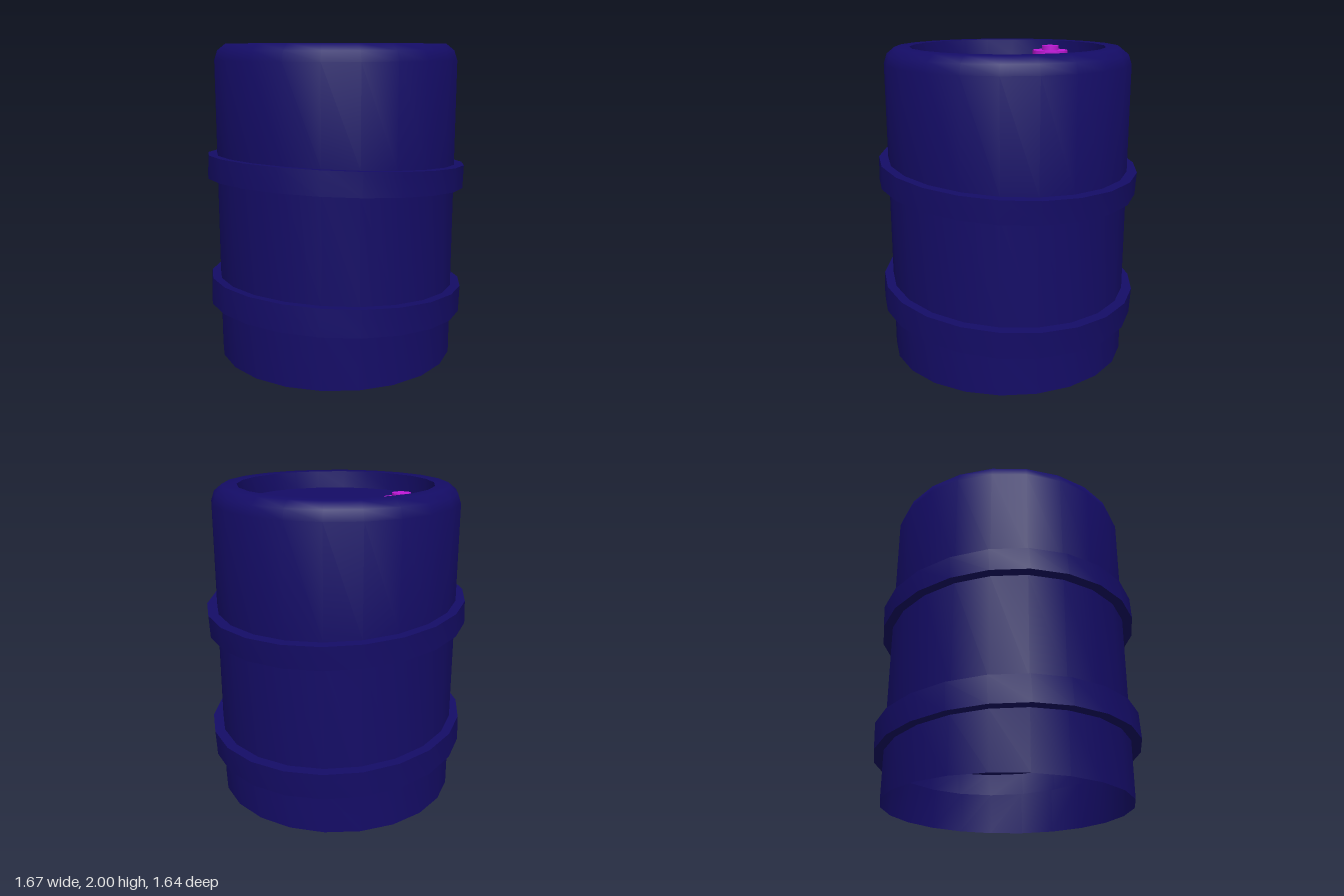
import * as THREE from 'three';
import { toCreasedNormals } from 'three/addons/utils/BufferGeometryUtils.js';

const SIDES = 22, R = 0.77, BAND_R = 0.83, SLOPE = 0.068;

export function createModel() {
  const group = new THREE.Group();
  group.name = 'barrel';
  const shell = new THREE.MeshStandardMaterial({ color: 0x140c66, side: THREE.DoubleSide });
  const capColor = new THREE.MeshStandardMaterial({ color: 0xc018d8 });

  // Profile of the open-bottomed shell; band points remember the middle of their band
  const profile = [];
  const add = (r, y, bandMid = null) => profile.push({ r, y, bandMid });
  add(R, 0);
  for (const [low, high] of [[0.313, 0.482], [1.13, 1.275]]) {
    const mid = (low + high) / 2;
    add(R, low, mid);
    add(BAND_R, low, mid);
    add(BAND_R, high, mid);
    add(R, high, mid);
  }
  // Rounded shoulder, flat rim, recessed lid
  add(R, 1.9);
  add(0.75, 1.96);
  add(0.7, 2);
  add(0.61, 2);
  add(0.597, 1.89);
  add(0, 1.89);

  const lathe = new THREE.LatheGeometry(profile.map(p => new THREE.Vector2(p.r, p.y)), SIDES, Math.PI / 2);

  // Tilt the hollow bands so they slope down toward +x
  const pos = lathe.attributes.position;
  for (let i = 0; i < pos.count; i++) {
    const p = profile[i % profile.length];
    if (p.bandMid === null) continue;
    const x = pos.getX(i);
    pos.setY(i, p.y - SLOPE * x);
    if (p.r > R) pos.setX(i, x + SLOPE * (p.y - p.bandMid));
  }
  const body = new THREE.Mesh(toCreasedNormals(lathe, 0.8), shell);
  body.name = 'barrelShell';
  group.add(body);

  // Filler cap with a small knob
  const cap = new THREE.Group();
  cap.name = 'fillerCap';
  cap.position.set(-0.042, 1.89, -0.456);
  const disc = (name, radius, sides, base, height) => {
    const geo = new THREE.CylinderGeometry(radius, radius, height, sides, 1, false, Math.PI / 2);
    const mesh = new THREE.Mesh(geo, capColor);
    mesh.name = name;
    mesh.position.y = base + height / 2;
    cap.add(mesh);
  };
  disc('capDisc', 0.119, 11, 0, 0.057);
  disc('capKnob', 0.056, 22, 0.057, 0.03);
  group.add(cap);

  return group;
}
